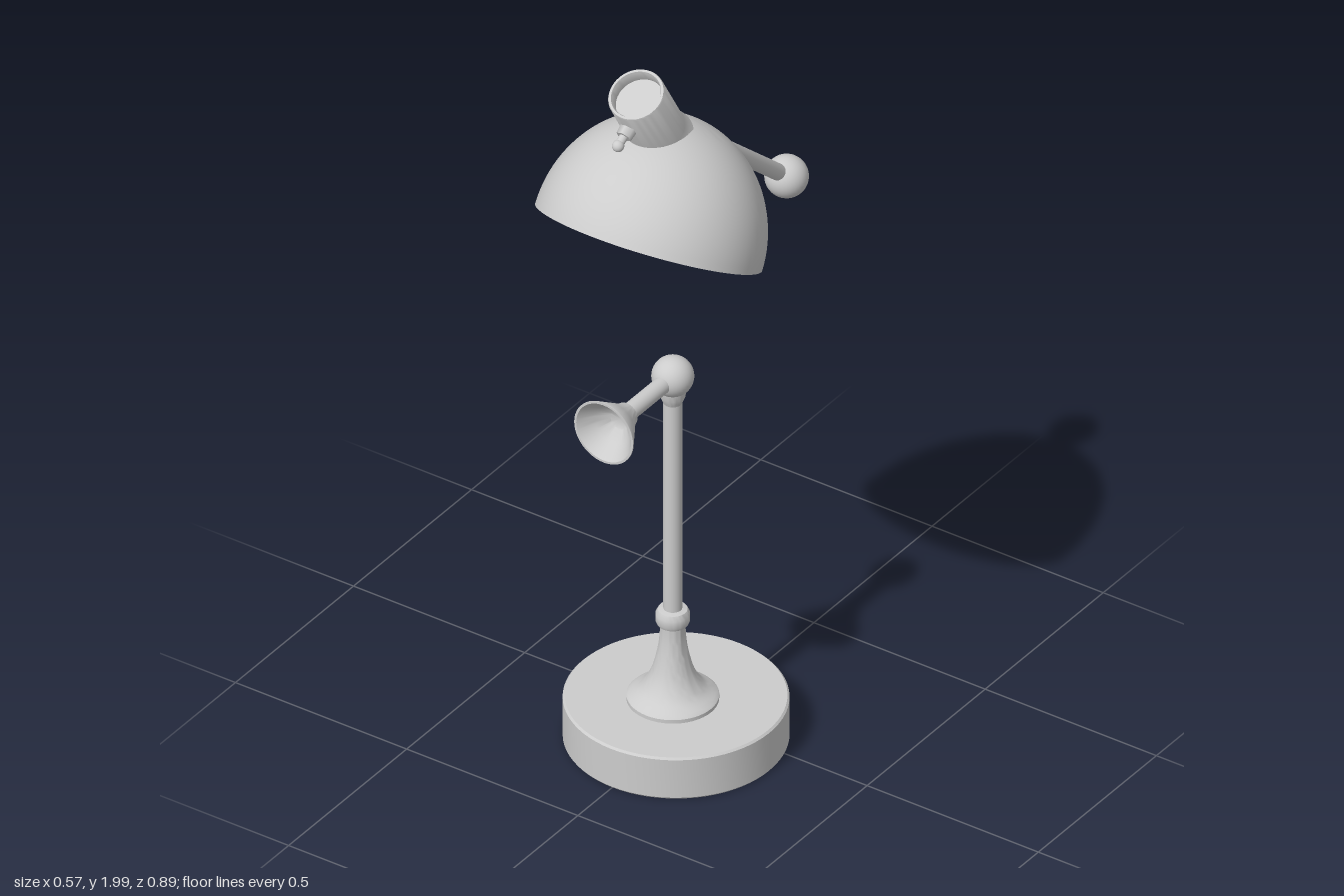
import * as THREE from 'three';
import { toCreasedNormals } from 'three/addons/utils/BufferGeometryUtils.js';

export function createModel() {
  const model = new THREE.Group();
  model.name = 'deskLamp';
  const grey = new THREE.MeshStandardMaterial({ color: 0xcccccc });
  grey.name = 'light grey';

  const add = (parent, name, geometry, x = 0, y = 0, z = 0, rx = 0) => {
    const mesh = new THREE.Mesh(geometry, grey);
    mesh.name = name;
    mesh.position.set(x, y, z);
    mesh.rotation.x = rx;
    parent.add(mesh);
    return mesh;
  };
  // Turned part from [radius, height] pairs, outside read bottom to top
  const turned = (points, segments = 48) => toCreasedNormals(
    new THREE.LatheGeometry(points.map(([r, y]) => new THREE.Vector2(r, y)), segments), 0.6);
  const ball = (r) => new THREE.SphereGeometry(r, 32, 24);
  const group = (name, y, z, rx) => {
    const g = new THREE.Group();
    g.name = name;
    g.position.set(0, y, z);
    g.rotation.x = rx;
    model.add(g);
    return g;
  };

  // Round base
  add(model, 'base', turned([[0, 0], [0.27, 0], [0.273, 0.004], [0.273, 0.113], [0.268, 0.118], [0, 0.118]], 72), 0, 0, 0.084);

  // Stand: flared foot, collar, pole and elbow ball
  const postZ = 0.098;
  const flare = new THREE.SplineCurve([[0.108, 0.132], [0.078, 0.155], [0.054, 0.195], [0.039, 0.25], [0.032, 0.3], [0.031, 0.342]]
    .map(([r, y]) => new THREE.Vector2(r, y))).getPoints(20).map((p) => [p.x, p.y]);
  add(model, 'flaredFoot', turned([[0.112, 0.116], [0.112, 0.128], ...flare]), 0, 0, postZ);
  add(model, 'collar', turned([[0.028, 0.335], [0.038, 0.336], [0.042, 0.345], [0.042, 0.365], [0.036, 0.377], [0.022, 0.38]]), 0, 0, postZ);
  add(model, 'pole', new THREE.CylinderGeometry(0.023, 0.023, 0.68, 32), 0, 0.7, postZ);
  add(model, 'elbowSocket', turned([[0.022, 0.975], [0.026, 0.985], [0.031, 0.998], [0.033, 1.02], [0.02, 1.03]]), 0, 0, postZ);
  add(model, 'elbowBall', ball(0.052), 0, 1.054, postZ);

  // Forward arm with a hollow cone
  add(model, 'forwardArm', new THREE.CylinderGeometry(0.022, 0.022, 0.2, 32), 0, 1.052, 0.2, Math.PI / 2);
  add(model, 'hollowCone', turned([
    [0.02, 0.285], [0.031, 0.292], [0.036, 0.308], [0.058, 0.343], [0.086, 0.388],
    [0.086, 0.391], [0.08, 0.391], [0.052, 0.352], [0.025, 0.325], [0, 0.32],
  ]), 0, 1.052, 0, Math.PI / 2);

  // Domed shade with a thin wall
  const shade = group('shade', 1.515, 0.2, -0.519);
  const arc = (r, h) => Array.from({ length: 29 }, (_, i) => {
    const a = (i / 28) * Math.PI / 2;
    return [i === 28 ? 0 : r * Math.cos(a), h * Math.sin(a)];
  });
  add(shade, 'dome', turned([...arc(0.276, 0.298).reverse(), ...arc(0.285, 0.31)], 72));
  add(shade, 'bulb', ball(0.106), 0, 0.12, 0);
  add(shade, 'bulbNeck', new THREE.CylinderGeometry(0.05, 0.06, 0.12, 32), 0, 0.245, 0);

  // Open-topped lamp holder leaning forward, with its switch
  const holder = group('lampHolder', 1.96, 0.254, 0.524);
  add(holder, 'holderTube', turned([
    [0.082, -0.215], [0.076, -0.195], [0.072, -0.17], [0.071, -0.004], [0.069, 0],
    [0.063, 0], [0.061, -0.004], [0.061, -0.035], [0, -0.035],
  ]));
  add(holder, 'switchCollar', new THREE.CylinderGeometry(0.02, 0.022, 0.025, 6), 0, -0.055, 0.08, Math.PI / 2);
  add(holder, 'switchStem', new THREE.CylinderGeometry(0.011, 0.011, 0.04, 20), 0, -0.055, 0.1, Math.PI / 2);
  add(holder, 'switchTip', ball(0.015), 0, -0.055, 0.119);

  // Rear arm and its end ball
  const start = new THREE.Vector3(0, 1.64, -0.07);
  const end = new THREE.Vector3(0, 1.365, -0.384);
  const dir = end.clone().sub(start);
  const mid = start.clone().add(end).multiplyScalar(0.5);
  add(model, 'rearArm', new THREE.CylinderGeometry(0.021, 0.021, dir.length(), 32), 0, mid.y, mid.z, Math.atan2(dir.z, dir.y));
  add(model, 'rearBall', ball(0.054), 0, end.y, end.z);

  return model;
}
